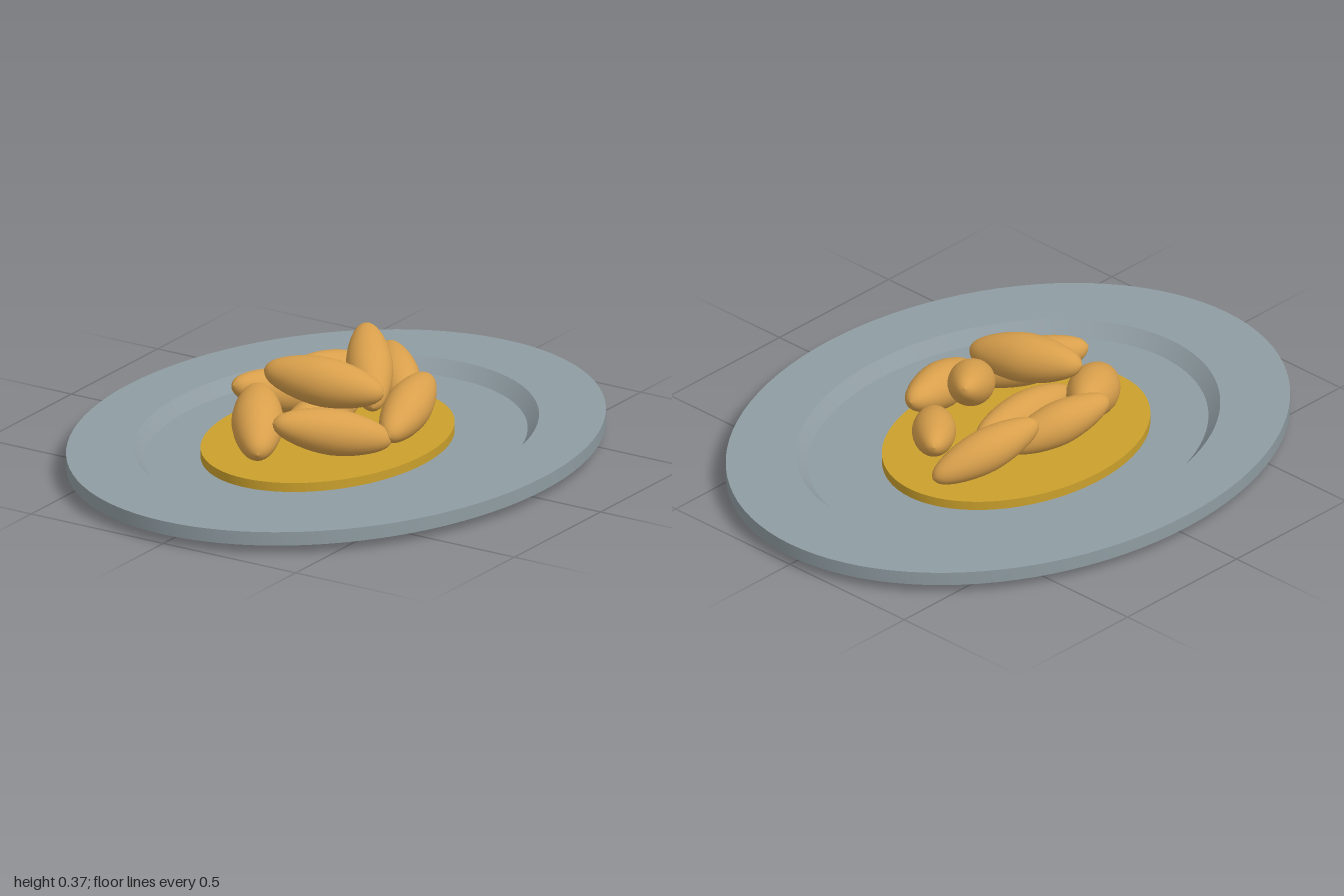
import * as THREE from 'three';
import { toCreasedNormals } from 'three/addons/utils/BufferGeometryUtils.js';

const V2 = (x, y) => new THREE.Vector2(x, y);

// Oval turned shape: lathe profile squeezed along x, with sharp rims
function ovalLathe(profile, scaleX, scaleZ) {
  const geo = new THREE.LatheGeometry(profile.map(([r, y]) => V2(r, y)), 96);
  geo.scale(scaleX, 1, scaleZ);
  return toCreasedNormals(geo, 0.5);
}

// Unit spindle along y: length 1, radius 1, with blunt ends
function spindle() {
  const half = [[0.33, 0.465], [0.62, 0.37], [0.88, 0.2]];
  const pts = [V2(0, -0.5), ...half.map(([r, y]) => V2(r, -y)), V2(1, 0),
    ...half.reverse().map(([r, y]) => V2(r, y)), V2(0, 0.5)];
  const smooth = new THREE.SplineCurve(pts).getPoints(24);
  smooth.forEach((p) => { p.x = Math.max(p.x, 0); });
  return new THREE.LatheGeometry(smooth, 28);
}

export function createModel() {
  const group = new THREE.Group();
  const plateGrey = new THREE.MeshStandardMaterial({ color: 0x8f9ca2 });
  const sauceGold = new THREE.MeshStandardMaterial({ color: 0xcaa02c });
  const foodBrown = new THREE.MeshStandardMaterial({ color: 0xd9a04c });

  const add = (name, geo, mat, parent = group) => {
    const mesh = new THREE.Mesh(geo, mat);
    mesh.name = name;
    parent.add(mesh);
    return mesh;
  };

  // Plate: foot, flat underside, rim and sunken well
  add('plate', ovalLathe([
    [0, 0], [0.53, 0], [0.55, 0.03], [1, 0.03], [1, 0.075],
    [0.752, 0.075], [0.71, 0.032], [0, 0.032],
  ], 0.785, 1), plateGrey);

  // Sauce disc in the well
  const sauce = add('sauce', ovalLathe([[0, 0.03], [1, 0.03], [1, 0.062], [0, 0.062]], 0.361, 0.486), sauceGold);
  sauce.position.set(-0.024, 0, 0.012);

  // Heap of pieces: one tip, other tip, radius
  const pieces = new THREE.Group();
  pieces.name = 'pieces';
  group.add(pieces);
  const geo = spindle();
  const heap = [
    [[-0.09, 0.11, -0.44], [-0.215, 0.22, -0.085], 0.07],
    [[-0.085, 0.22, -0.43], [0.165, 0.13, -0.165], 0.07],
    [[0.175, 0.21, -0.265], [0.27, 0.14, 0.115], 0.075],
    [[-0.05, 0.345, -0.25], [0.16, 0.19, 0.03], 0.075],
    [[-0.04, 0.13, -0.18], [-0.04, 0.13, 0.24], 0.07],
    [[-0.165, 0.3, 0.165], [0.215, 0.255, 0.05], 0.08],
    [[-0.14, 0.12, -0.15], [-0.28, 0.225, 0.17], 0.07],
    [[-0.23, 0.205, 0.1], [-0.03, 0.11, 0.41], 0.083],
    [[0.005, 0.215, 0.375], [0.265, 0.12, 0.08], 0.075],
  ];
  const up = new THREE.Vector3(0, 1, 0);
  for (const [a, b, radius] of heap) {
    const start = new THREE.Vector3(...a);
    const axis = new THREE.Vector3(...b).sub(start);
    const piece = add('piece', geo, foodBrown, pieces);
    piece.position.copy(start).addScaledVector(axis, 0.5);
    piece.scale.set(radius, axis.length(), radius);
    piece.quaternion.setFromUnitVectors(up, axis.normalize());
  }
  return group;
}
